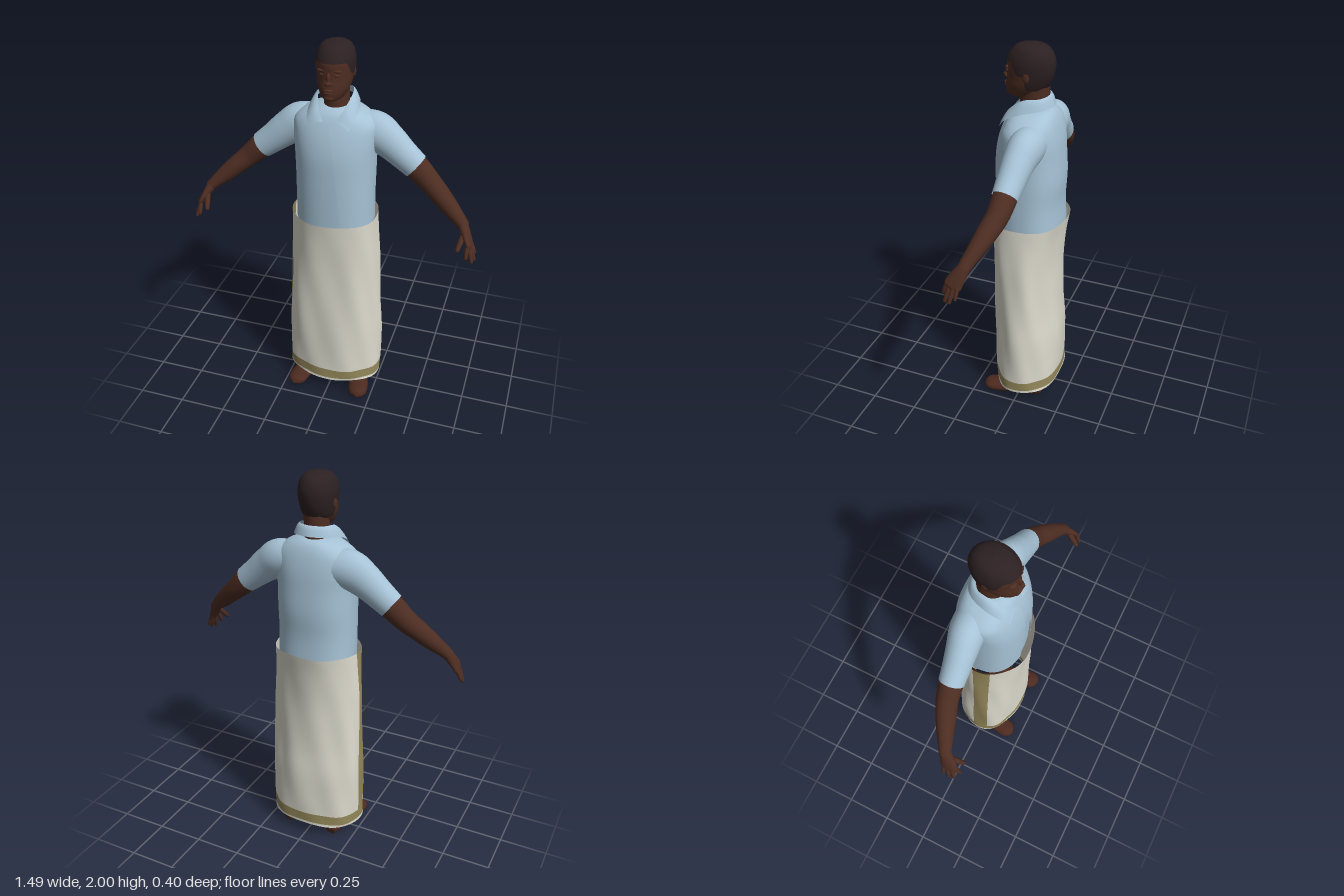
import * as THREE from 'three';

const mat = (name, color, side = THREE.FrontSide) => {
  const m = new THREE.MeshStandardMaterial({ color, side });
  m.name = name;
  return m;
};

// Smooth interpolation of all columns of a table, t from 0 to 1
function spline(rows, t) {
  const n = rows.length - 1, s = Math.min(Math.max(t, 0), 1) * n;
  const i = Math.min(Math.floor(s), n - 1), f = s - i;
  const a = rows[Math.max(i - 1, 0)], b = rows[i], c = rows[i + 1], d = rows[Math.min(i + 2, n)];
  return b.map((_, k) => {
    const m0 = (c[k] - a[k]) / 2, m1 = (d[k] - b[k]) / 2, e = c[k] - b[k];
    return b[k] + f * (m0 + f * (3 * e - 2 * m0 - m1 + f * (m0 + m1 - 2 * e)));
  });
}

// Grid surface from fn(u, v); wrap closes it in u; pick(i, j) chooses a material group
function surface(fn, nu, nv, wrap = true, pick = null) {
  const cols = wrap ? nu : nu + 1, pos = [], sets = [[], []];
  for (let j = 0; j <= nv; j++)
    for (let i = 0; i < cols; i++) pos.push(...fn(i / nu, j / nv));
  for (let j = 0; j < nv; j++)
    for (let i = 0; i < nu; i++) {
      const i2 = (i + 1) % cols, a = j * cols + i, b = j * cols + i2, c = a + cols, d = b + cols;
      sets[pick ? pick(i, j) : 0].push(a, c, b, b, c, d);
    }
  const g = new THREE.BufferGeometry();
  g.setAttribute('position', new THREE.Float32BufferAttribute(pos, 3));
  g.setIndex([...sets[0], ...sets[1]]);
  if (pick) {
    g.addGroup(0, sets[0].length, 0);
    g.addGroup(sets[0].length, sets[1].length, 1);
  }
  g.computeVertexNormals();
  return g;
}

// Upright section: rows are [y, halfWidth, zFront, zBack]
function section(rows, theta, t, power = 2, grow = 0) {
  const [y, w, zf, zb] = spline(rows, t);
  const p = (v) => Math.sign(v) * Math.abs(v) ** (2 / power);
  const c = p(Math.cos(theta)), s = p(Math.sin(theta));
  return [c * (w + grow), y, (zf + zb) / 2 + s * ((zf - zb) / 2 + grow)];
}
const upright = (rows, nu, nv, power) =>
  surface((u, v) => section(rows, u * Math.PI * 2, v, power), nu, nv);

// Limb along a path: rows are [x, y, z, radiusA, radiusB]
function limb(rows, nu = 20, nv = 24, ref = new THREE.Vector3(0, 0, 1), floor = -1) {
  return surface((u, v) => {
    const [x, y, z, ra, rb] = spline(rows, v), p = spline(rows, v - 0.01), q = spline(rows, v + 0.01);
    const T = new THREE.Vector3(q[0] - p[0], q[1] - p[1], q[2] - p[2]).normalize();
    const A = T.clone().cross(ref).normalize(), B = A.clone().cross(T);
    const c = Math.cos(u * Math.PI * 2) * ra, s = Math.sin(u * Math.PI * 2) * rb;
    return [x + A.x * c + B.x * s, Math.max(floor, y + A.y * c + B.y * s), z + A.z * c + B.z * s];
  }, nu, nv);
}

function mirrored(geo) {
  const g = geo.clone().scale(-1, 1, 1), ix = g.index.array;
  for (let i = 0; i < ix.length; i += 3) [ix[i], ix[i + 1]] = [ix[i + 1], ix[i]];
  return g;
}

export function createModel() {
  const skin = mat('skin', 0x4d2d22), hair = mat('hair', 0x2c2022, THREE.DoubleSide);
  const blue = mat('shirt blue', 0xa6c2d5, THREE.DoubleSide), shoe = mat('shoe brown', 0x4c2a20);
  const cream = mat('cloth cream', 0xdcdacd, THREE.DoubleSide);
  const gold = mat('border gold', 0x94885a, THREE.DoubleSide);
  const model = new THREE.Group();
  const add = (name, geo, m) => {
    const mesh = new THREE.Mesh(geo, m);
    mesh.name = name;
    model.add(mesh);
  };
  const pair = (name, geo, m) => {
    add('left' + name, geo, m);
    add('right' + name, mirrored(geo), m);
  };
  const ball = (x, y, z, rx, ry, rz) =>
    new THREE.SphereGeometry(1, 20, 14).scale(rx, ry, rz).translate(x, y, z);

  // Head and neck
  const head = [[1.733, 0, 0.06, 0.06], [1.742, 0.042, 0.103, -0.02], [1.765, 0.063, 0.114, -0.06],
    [1.8, 0.078, 0.115, -0.09], [1.84, 0.085, 0.109, -0.11], [1.88, 0.089, 0.108, -0.12],
    [1.92, 0.088, 0.106, -0.121], [1.96, 0.076, 0.083, -0.105], [1.985, 0.052, 0.05, -0.073],
    [1.996, 0, -0.01, -0.01]];
  add('head', upright(head, 40, 45), skin);
  add('neck', upright([[1.6, 0.07, 0.05, -0.09], [1.7, 0.062, 0.045, -0.095], [1.8, 0.06, 0.05, -0.1]], 28, 8), skin);
  // Hair cap, lower at the temples and nape than at the forehead
  add('hair', surface((u, v) => {
    const th = u * Math.PI * 2, s = Math.sin(th);
    const t0 = 0.3 + 0.2 * THREE.MathUtils.smoothstep(s, -0.25, 0.05) + 0.17 * THREE.MathUtils.smoothstep(s, 0.3, 0.65);
    return section(head, th, t0 + (1 - t0) * v, 2, 0.004 * (1 - v ** 6)).map((c, k) => (k === 1 ? c + 0.004 * v : c));
  }, 48, 30), hair);

  // Face
  add('noseBridge', ball(0, 1.853, 0.108, 0.01, 0.028, 0.014), skin);
  add('noseTip', ball(0, 1.832, 0.116, 0.013, 0.012, 0.017), skin);
  add('upperLip', ball(0, 1.797, 0.112, 0.024, 0.007, 0.013), skin);
  add('lowerLip', ball(0, 1.784, 0.111, 0.021, 0.007, 0.012), skin);
  add('chin', ball(0, 1.757, 0.1, 0.026, 0.016, 0.017), skin);
  pair('Nostril', ball(0.013, 1.828, 0.11, 0.009, 0.008, 0.011), skin);
  pair('Eyelid', ball(0.034, 1.866, 0.094, 0.015, 0.008, 0.011), skin);
  pair('Brow', ball(0.035, 1.886, 0.093, 0.025, 0.007, 0.012), skin);
  pair('Ear', ball(0.088, 1.857, -0.014, 0.007, 0.027, 0.016), skin);

  // Shirt body
  const torso = [[1.07, 0.2, 0.148, -0.182], [1.2, 0.199, 0.15, -0.176], [1.33, 0.2, 0.15, -0.182],
    [1.45, 0.203, 0.146, -0.175], [1.54, 0.21, 0.13, -0.167], [1.61, 0.205, 0.107, -0.152],
    [1.655, 0.155, 0.085, -0.135], [1.68, 0.1, 0.06, -0.115], [1.69, 0.06, 0.035, -0.09]];
  add('shirtBody', upright(torso, 56, 40, 2.3), blue);
  // Open front panels lying over the shirt body
  for (const [name, side, top, bottom] of [['left', 1, 0.015, 0.085], ['right', -1, 0.01, 0.05]])
    add(name + 'FrontPanel', surface((u, v) => {
      const edge = Math.acos((bottom + (top - bottom) * v ** 0.8) / 0.2) ** 1;
      const k = side > 0 ? 1 - u : u;
      const th = 0.25 + (Math.min(edge + 0.08, Math.PI / 2 - 0.02) - 0.25) * k;
      const p = section(torso, th, v * 0.66, 2.3, 0.001 + 0.008 * k);
      return [p[0] * side, p[1], p[2]];
    }, 16, 30, false), blue);

  // Folded collar with pointed front tips
  const around = (half) => new THREE.CatmullRomCurve3(
    [...half, ...half.slice(0, -1).reverse().map(([x, y, z]) => [-x, y, z])].map((p) => new THREE.Vector3(...p)));
  const collarTop = around([[0.028, 1.637, 0.112], [0.06, 1.69, 0.075], [0.083, 1.745, 0], [0.064, 1.755, -0.075], [0, 1.757, -0.1]]);
  const collarLow = around([[0.1, 1.605, 0.118], [0.117, 1.645, 0.085], [0.122, 1.688, 0], [0.085, 1.705, -0.092], [0, 1.71, -0.128]]);
  add('collar', surface((u, v) => {
    const a = collarLow.getPoint(u), b = collarTop.getPoint(u);
    return a.lerp(b, v).add(new THREE.Vector3(0, 0.012 * Math.sin(Math.PI * v), 0)).toArray();
  }, 48, 6, false), blue);

  // Sleeves and arms
  pair('Sleeve', limb([[0.1, 1.56, -0.055, 0.09, 0.085], [0.19, 1.55, -0.05, 0.1, 0.085],
    [0.26, 1.51, -0.042, 0.088, 0.076], [0.33, 1.455, -0.036, 0.076, 0.068], [0.4, 1.4, -0.032, 0.068, 0.062]], 28, 24), blue);
  pair('Arm', limb([[0.36, 1.43, -0.034, 0.06, 0.055], [0.41, 1.39, -0.031, 0.063, 0.058],
    [0.47, 1.335, -0.022, 0.056, 0.054], [0.53, 1.285, 0, 0.05, 0.05], [0.585, 1.237, 0.022, 0.044, 0.043],
    [0.64, 1.19, 0.046, 0.033, 0.035], [0.672, 1.16, 0.06, 0.027, 0.032]], 24, 30), skin);

  // Hands
  pair('Palm', limb([[0.66, 1.172, 0.055, 0.027, 0.03], [0.68, 1.14, 0.072, 0.023, 0.036],
    [0.7, 1.105, 0.09, 0.017, 0.043], [0.712, 1.08, 0.1, 0.013, 0.04], [0.714, 1.072, 0.102, 0, 0]]), skin);
  const fingers = [
    ['IndexFinger', [0.703, 1.09, 0.128], [0.703, 1.028, 0.152], 0.0105],
    ['MiddleFinger', [0.71, 1.085, 0.109], [0.733, 1.0, 0.133], 0.011],
    ['RingFinger', [0.713, 1.085, 0.09], [0.742, 1.002, 0.106], 0.0105],
    ['LittleFinger', [0.712, 1.09, 0.07], [0.74, 1.025, 0.076], 0.009],
    ['Thumb', [0.675, 1.135, 0.09], [0.657, 1.065, 0.155], 0.013]];
  for (const [name, a, b, r] of fingers) {
    const at = (f, k) => [...a.map((c, i) => c + (b[i] - c) * f), r * k, r * k];
    pair(name, limb([at(0, 1), at(0.45, 1.05), at(0.75, 0.9), at(0.93, 0.7), at(1, 0)], 12, 14), skin);
  }

  // Legs and feet
  pair('Leg', limb([[0.132, 0.04, -0.065, 0.042, 0.05], [0.13, 0.12, -0.065, 0.042, 0.048],
    [0.125, 0.32, -0.06, 0.058, 0.062], [0.115, 0.55, -0.03, 0.06, 0.065], [0.105, 1.0, -0.01, 0.085, 0.1]], 20, 20), skin);
  pair('Foot', limb([[0.128, 0.03, -0.135, 0, 0], [0.129, 0.035, -0.122, 0.034, 0.04],
    [0.135, 0.04, -0.06, 0.046, 0.05], [0.152, 0.036, 0.03, 0.049, 0.045], [0.173, 0.03, 0.12, 0.055, 0.033],
    [0.183, 0.025, 0.18, 0.043, 0.028], [0.185, 0.02, 0.205, 0, 0]], 24, 30, new THREE.Vector3(0, 1, 0), 0), shoe);

  // Wrapped cloth with soft folds, a gold hem border and a gold side edge
  const cloth = [[0.075, 0.259, 0.168, -0.19], [0.09, 0.259, 0.168, -0.19], [0.145, 0.259, 0.168, -0.19],
    [0.25, 0.258, 0.168, -0.19], [0.4, 0.257, 0.168, -0.188], [0.55, 0.25, 0.166, -0.176], [0.7, 0.243, 0.165, -0.17],
    [0.85, 0.237, 0.168, -0.17], [1, 0.227, 0.178, -0.183], [1.105, 0.222, 0.188, -0.2]];
  add('wrappedCloth', surface((u, v) => {
    const th = u * Math.PI * 2;
    const fold = 0.004 * Math.sin(5 * th + 5 * v) + 0.003 * Math.sin(9 * th - 11 * v) * Math.sin(Math.PI * v);
    return section(cloth, th, v, 2.15, fold);
  }, 72, 54, true, (i, j) => ((j >= 6 && j < 12) || (j >= 12 && i >= 32 && i < 37) ? 1 : 0)), [cream, gold]);

  return model;
}
